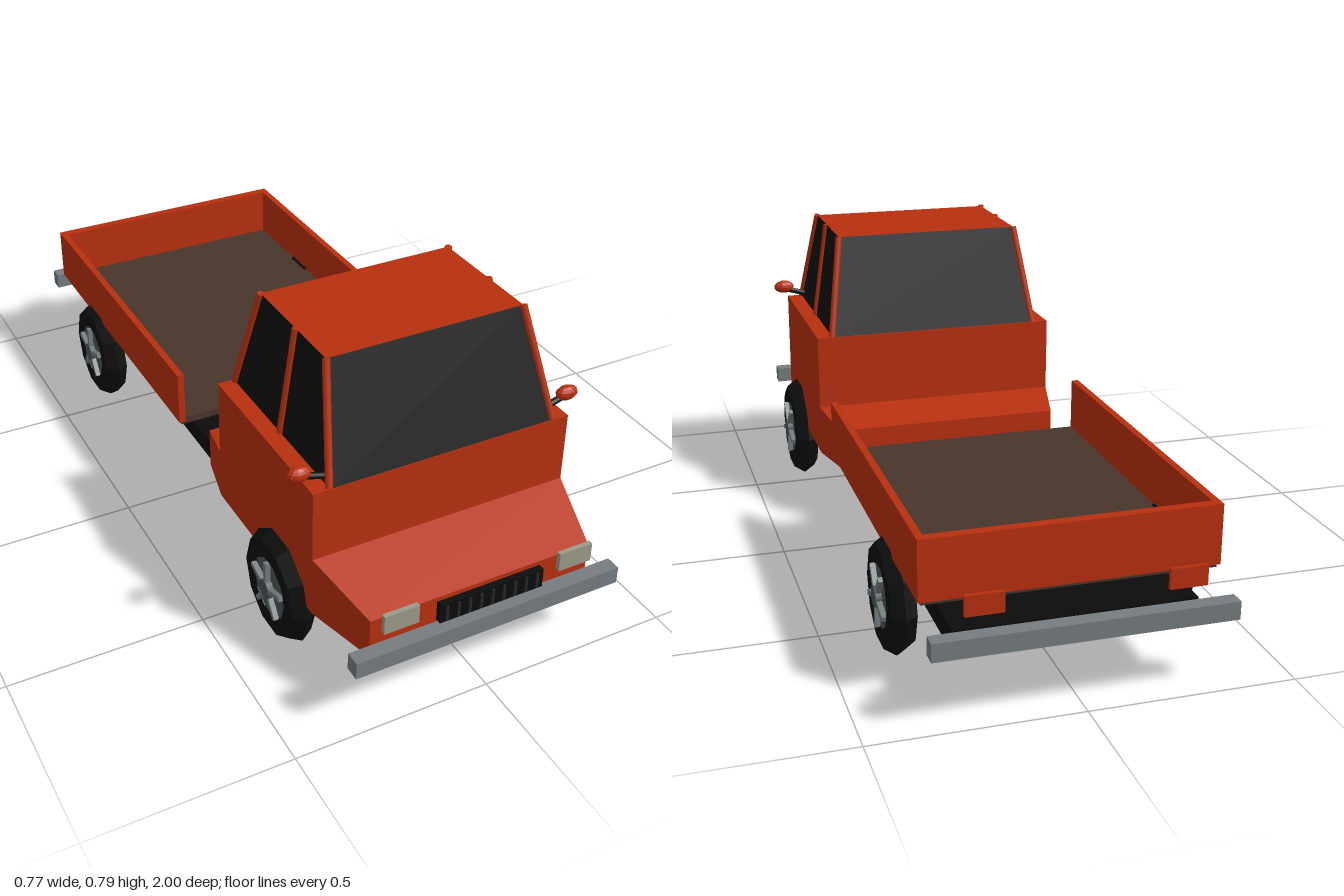
import * as THREE from 'three';

const mat = (name, color) => new THREE.MeshStandardMaterial({ name, color });

export function createModel() {
  const truck = new THREE.Group();
  truck.name = 'pickupTruck';

  const paint = mat('orangePaint', 0xb8300f);
  const black = mat('chassisBlack', 0x0b0b0b);
  const glass = mat('darkGlass', 0x0f0f0f);
  const tyreMat = mat('tyreRubber', 0x0d0e0e);
  const bumperMat = mat('bumperGrey', 0x757c7f);
  const rimMat = mat('rimGrey', 0x4c5458);
  const spokeMat = mat('spokeGrey', 0x737b7f);
  const lampMat = mat('headlightCream', 0x9c9a8a);
  const floorMat = mat('bedBrown', 0x48342a);
  const slatMat = mat('grilleSlat', 0x26282a);

  const add = (name, geo, material, parent = truck) => {
    const m = new THREE.Mesh(geo, material);
    m.name = name;
    parent.add(m);
    return m;
  };

  // Box given by its limits on each axis
  const box = (name, [x0, x1], [y0, y1], [z0, z1], material, parent) => {
    const m = add(name, new THREE.BoxGeometry(x1 - x0, y1 - y0, z1 - z0), material, parent);
    m.position.set((x0 + x1) / 2, (y0 + y1) / 2, (z0 + z1) / 2);
    return m;
  };

  // Unit box whose corners are moved by a rule taking 0..1 coordinates
  const shapedBox = (rule) => {
    const geo = new THREE.BoxGeometry(1, 1, 1);
    const p = geo.attributes.position;
    for (let i = 0; i < p.count; i++) {
      p.setXYZ(i, ...rule(p.getX(i) + 0.5, p.getY(i) + 0.5, p.getZ(i) + 0.5));
    }
    geo.computeVertexNormals();
    return geo;
  };

  const flat = (geo) => {
    const g = geo.toNonIndexed();
    g.computeVertexNormals();
    return g;
  };

  // Round bar between two points
  const bar = (name, a, b, r, material, parent) => {
    const from = new THREE.Vector3(...a);
    const dir = new THREE.Vector3(...b).sub(from);
    const m = add(name, new THREE.CylinderGeometry(r, r, dir.length(), 8), material, parent);
    m.position.copy(from).addScaledVector(dir, 0.5);
    m.quaternion.setFromUnitVectors(new THREE.Vector3(0, 1, 0), dir.normalize());
    return m;
  };

  const mix = THREE.MathUtils.lerp;

  // Chassis and bumpers
  box('chassis', [-0.285, 0.285], [0.145, 0.2], [-0.925, 0.925], black);
  box('frontBumper', [-0.352, 0.352], [0.172, 0.216], [0.962, 1], bumperMat);
  box('rearBumper', [-0.352, 0.352], [0.172, 0.216], [-1, -0.962], bumperMat);

  // Cab body with tapering nose and rear step
  box('cabBody', [-0.34, 0.34], [0.172, 0.513], [0.27, 0.77], paint);
  add('nose', shapedBox((x, y, z) => [
    (x - 0.5) * mix(0.68, 0.585, z),
    mix(0.172, mix(0.33, 0.275, z), y),
    mix(0.77, 0.952, z),
  ]), paint);
  add('cabRearStep', shapedBox((x, y, z) => [
    (x - 0.5) * mix(0.62, 0.68, z),
    mix(0.172, mix(0.282, 0.31, z), y),
    mix(0.137, 0.27, z),
  ]), paint);

  // Greenhouse: glass on four sides, painted roof
  add('cabWindowsAndRoof', shapedBox((x, y, z) => [
    (x - 0.5) * mix(0.594, 0.514, y),
    mix(0.513, 0.783, y),
    mix(mix(0.275, 0.345, y), mix(0.768, 0.668, y), z),
  ]), [glass, glass, paint, glass, glass, glass]);

  for (const s of [1, -1]) {
    const side = s > 0 ? 'left' : 'right';

    // Pillars
    for (const [name, zBottom, zTop] of [['Front', 0.764, 0.668], ['Middle', 0.525, 0.525], ['Rear', 0.279, 0.347]]) {
      bar(side + name + 'Pillar', [s * 0.297, 0.513, zBottom], [s * 0.257, 0.783, zTop], 0.0095, paint);
    }

    // Door mirrors
    bar(side + 'MirrorArm', [s * 0.285, 0.525, 0.735], [s * 0.345, 0.543, 0.735], 0.008, black);
    const mirror = add(side + 'Mirror', flat(new THREE.SphereGeometry(1, 10, 8)), paint);
    mirror.scale.set(0.03, 0.019, 0.018);
    mirror.position.set(s * 0.357, 0.552, 0.735);

    // Lamps
    const span = (a, b) => (s > 0 ? [a, b] : [-b, -a]);
    box(side + 'Headlight', span(0.187, 0.276), [0.257, 0.306], [0.973, 0.985], lampMat);
    box(side + 'TailLight', span(0.187, 0.276), [0.259, 0.308], [-0.985, -0.975], paint);

    // Bed side walls
    box(side + 'BedWall', span(0.334, 0.352), [0.256, 0.403], [-0.89, 0.035], paint);
  }

  // Grille
  box('grille', [-0.137, 0.137], [0.238, 0.289], [0.976, 0.992], black);
  for (let i = 0; i < 9; i++) {
    const x = (i - 4) * 0.03;
    box('grilleSlat', [x - 0.003, x + 0.003], [0.243, 0.284], [0.99, 0.996], slatMat);
  }

  // Bed floor and tailgate
  box('bedFloor', [-0.345, 0.345], [0.248, 0.267], [-0.885, 0.033], floorMat);
  box('tailgate', [-0.334, 0.334], [0.256, 0.403], [-0.89, -0.865], paint);

  // Wheels, built with their axle along y and the outer face at +y
  const tyreProfile = [
    [0.08, -0.031], [0.125, -0.031], [0.145, 0], [0.125, 0.031], [0.08, 0.031], [0.08, -0.031],
  ].map(([r, y]) => new THREE.Vector2(r, y));
  const tyreGeo = flat(new THREE.LatheGeometry(tyreProfile, 10));
  const rimGeo = new THREE.CylinderGeometry(0.082, 0.082, 0.058, 20);
  const hubGeo = new THREE.CylinderGeometry(0.026, 0.026, 0.08, 12);
  const spokeGeo = new THREE.BoxGeometry(0.013, 0.014, 0.074);

  for (const s of [1, -1]) {
    for (const [name, z] of [['front', 0.61], ['rear', -0.6]]) {
      const wheel = new THREE.Group();
      wheel.name = name + (s > 0 ? 'Left' : 'Right') + 'Wheel';
      add('tyre', tyreGeo, tyreMat, wheel);
      add('rim', rimGeo, rimMat, wheel);
      add('hub', hubGeo, rimMat, wheel).position.y = 0.004;
      for (let i = 0; i < 5; i++) {
        const a = (i / 5) * Math.PI * 2 + Math.PI / 2;
        const spoke = add('spoke', spokeGeo, spokeMat, wheel);
        spoke.position.set(Math.sin(a) * 0.041, 0.035, Math.cos(a) * 0.041);
        spoke.rotation.y = a;
      }
      wheel.rotation.z = -s * Math.PI / 2;
      wheel.position.set(s * 0.341, 0.138, z);
      truck.add(wheel);
    }
  }

  return truck;
}
